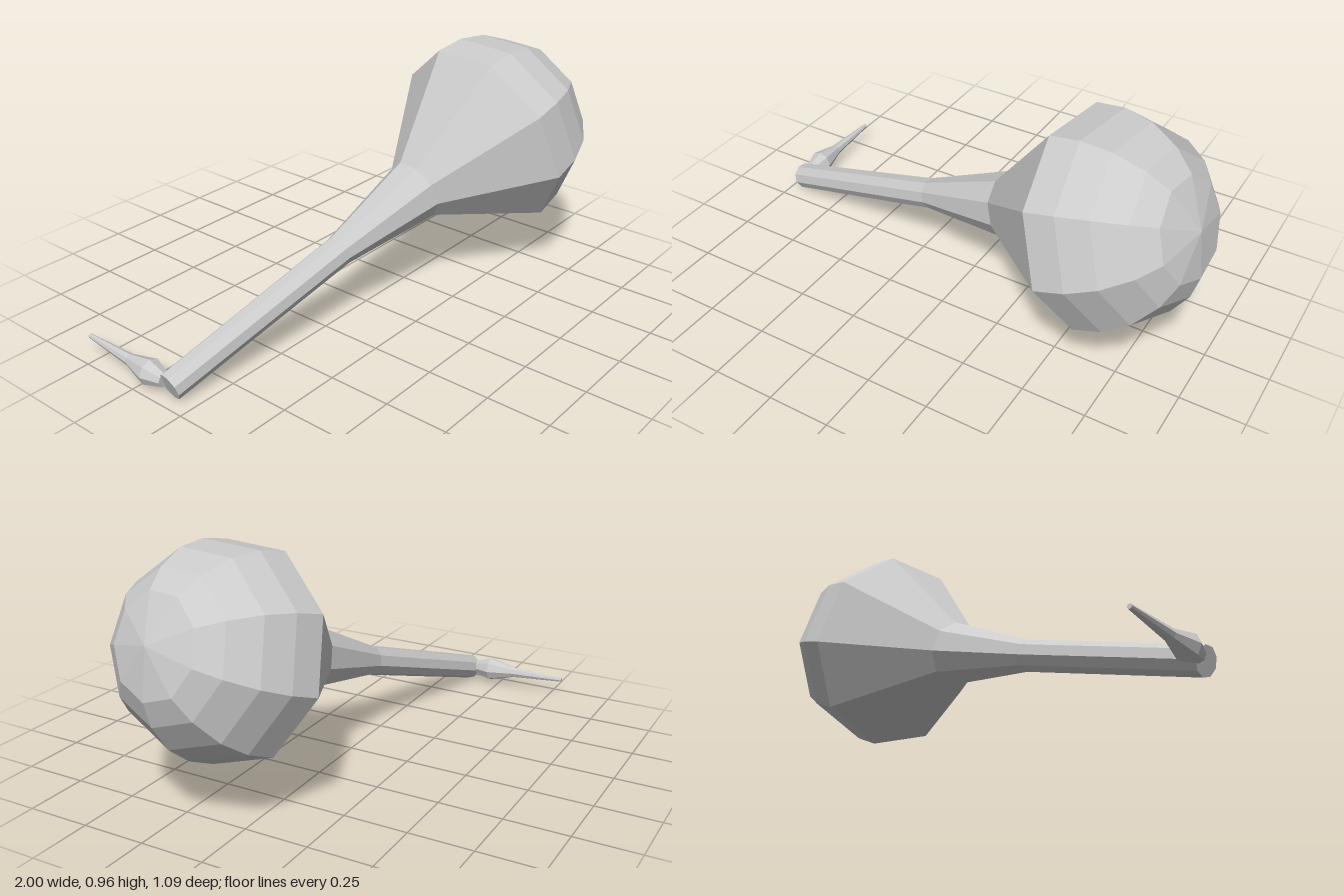
import * as THREE from 'three';

// Faceted solid of revolution: profile rows are [distance along the axis, radius].
// One vertex row always points straight down from the axis.
function turned(name, start, end, sides, profile) {
  const material = new THREE.MeshStandardMaterial({ color: 0xcccccc, flatShading: true });
  const points = profile.map(([s, r]) => new THREE.Vector2(r, s));
  const mesh = new THREE.Mesh(new THREE.LatheGeometry(points, sides), material);
  const axis = end.clone().sub(start).normalize();
  const down = new THREE.Vector3(0, -1, 0).addScaledVector(axis, axis.y).normalize();
  const side = new THREE.Vector3().crossVectors(axis, down);
  mesh.quaternion.setFromRotationMatrix(new THREE.Matrix4().makeBasis(side, axis, down));
  mesh.position.copy(start);
  mesh.name = name;
  return mesh;
}

export function createModel() {
  const model = new THREE.Group();
  model.name = 'clubWithSpike';

  // Straight grip flaring through the neck into the domed head
  model.add(turned('handleAndHead',
    new THREE.Vector3(-0.955, 0.057, -0.1), new THREE.Vector3(0.98, 0.715, 0.2), 9, [
      [0, 0], [0, 0.054],
      [0.82, 0.061], [1.237, 0.127],
      [1.64, 0.402], [1.76, 0.388], [1.87, 0.345], [1.967, 0.268], [2.025, 0.185], [2.065, 0],
    ]));

  // Small tapered spike standing out from the butt of the handle
  model.add(turned('spike',
    new THREE.Vector3(-0.947, 0.066, -0.135), new THREE.Vector3(-0.941, 0.08, -0.55), 8, [
      [0, 0], [0, 0.027], [0.075, 0.051], [0.185, 0.023], [0.415, 0.009], [0.415, 0],
    ]));

  return model;
}
